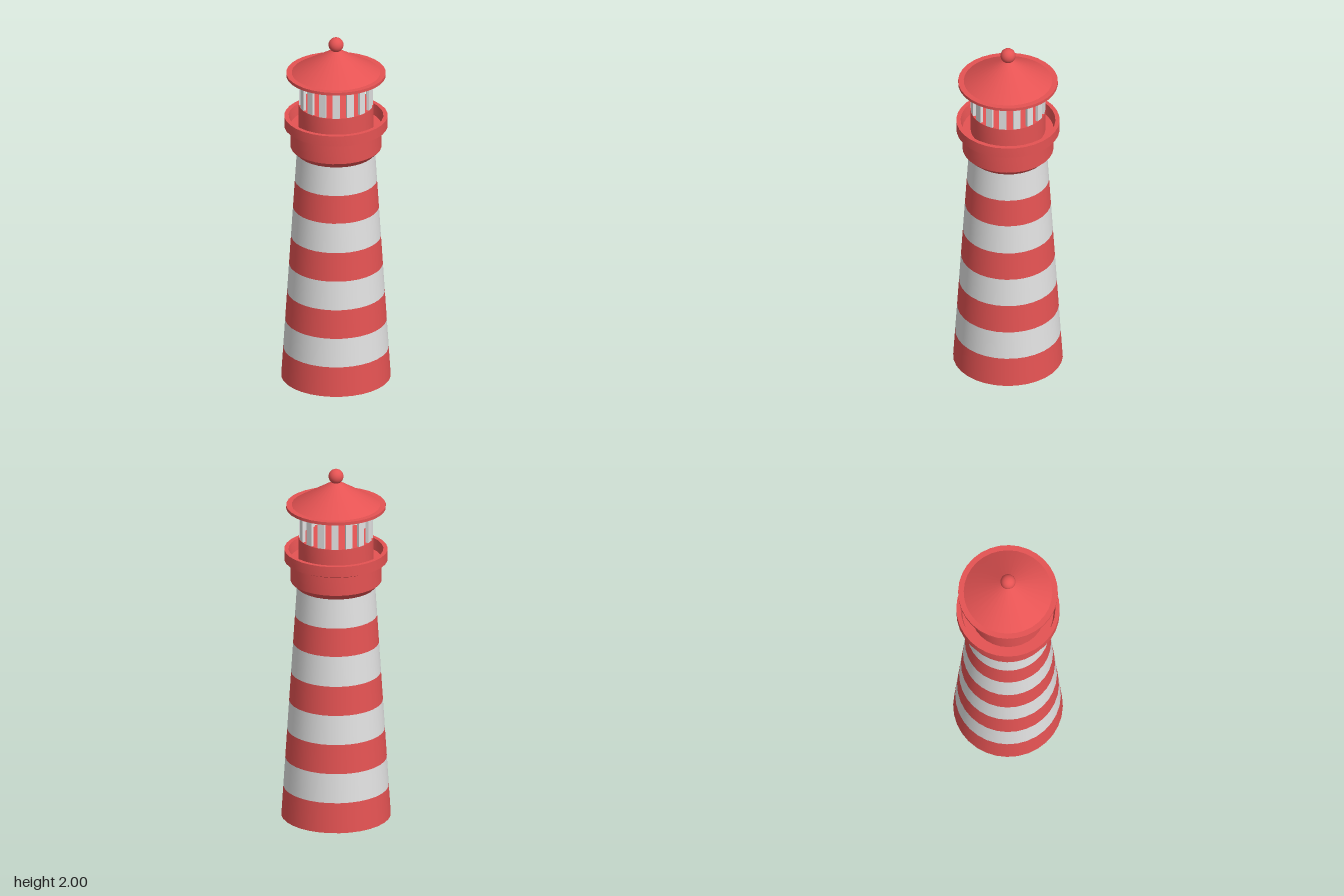
import * as THREE from 'three';
import { toCreasedNormals } from 'three/addons/utils/BufferGeometryUtils.js';

const SIDES = 32;

export function createModel() {
  const group = new THREE.Group();
  const red = new THREE.MeshStandardMaterial({ name: 'red paint', color: 0xe55353 });
  const white = new THREE.MeshStandardMaterial({ name: 'white paint', color: 0xe2e2e2 });

  const add = (name, geometry, material, parent = group) => {
    const mesh = new THREE.Mesh(geometry, material);
    mesh.name = name;
    parent.add(mesh);
    return mesh;
  };

  // Turned part from a [radius, height] profile, running up the outside
  const turned = (name, profile, material) => {
    const points = profile.map(([r, y]) => new THREE.Vector2(r, y));
    return add(name, toCreasedNormals(new THREE.LatheGeometry(points, SIDES), 0.4), material);
  };

  // Tapered tower in eight alternating bands
  const tower = new THREE.Group();
  tower.name = 'tower';
  group.add(tower);
  const bounds = [0, 0.17, 0.335, 0.5, 0.665, 0.83, 1.0, 1.16, 1.33];
  const radiusAt = (y) => 0.297 - (0.297 - 0.212) * (y / 1.33);
  for (let i = 0; i < 8; i++) {
    const y0 = bounds[i], y1 = bounds[i + 1];
    const band = new THREE.CylinderGeometry(radiusAt(y1), radiusAt(y0), y1 - y0, SIDES, 1, true);
    add('towerBand', band, i % 2 ? white : red, tower).position.y = (y0 + y1) / 2;
  }
  const foot = add('towerFoot', new THREE.CircleGeometry(0.297, SIDES), red, tower);
  foot.rotation.x = Math.PI / 2;

  // Gallery with a flared underside and a raised rim around the walkway
  turned('gallery', [
    [0.2, 1.33], [0.212, 1.325], [0.247, 1.36], [0.247, 1.465], [0.28, 1.48],
    [0.28, 1.54], [0.257, 1.54], [0.247, 1.48], [0.19, 1.48],
  ], red);

  // Lantern room base
  turned('lanternBase', [[0.203, 1.47], [0.203, 1.61], [0, 1.61]], red);

  // Sixteen lantern posts, each covering one of every two facets
  const posts = new THREE.Group();
  posts.name = 'lanternPosts';
  group.add(posts);
  const step = (Math.PI * 2) / SIDES;
  const postGeometry = new THREE.BoxGeometry(0.0396, 0.17, 0.016);
  for (let i = 0; i < SIDES / 2; i++) {
    const angle = (2 * i + 0.5) * step;
    const post = add('lanternPost', postGeometry, white, posts);
    post.position.set(Math.sin(angle) * 0.193, 1.695, Math.cos(angle) * 0.193);
    post.rotation.y = angle;
  }

  // Conical roof on a thin brim, topped by a ball
  turned('roof', [
    [0, 1.778], [0.27, 1.778], [0.27, 1.795], [0.24, 1.795], [0.01, 1.935],
  ], red);
  add('finial', new THREE.SphereGeometry(0.041, 24, 16), red).position.y = 1.959;

  return group;
}
